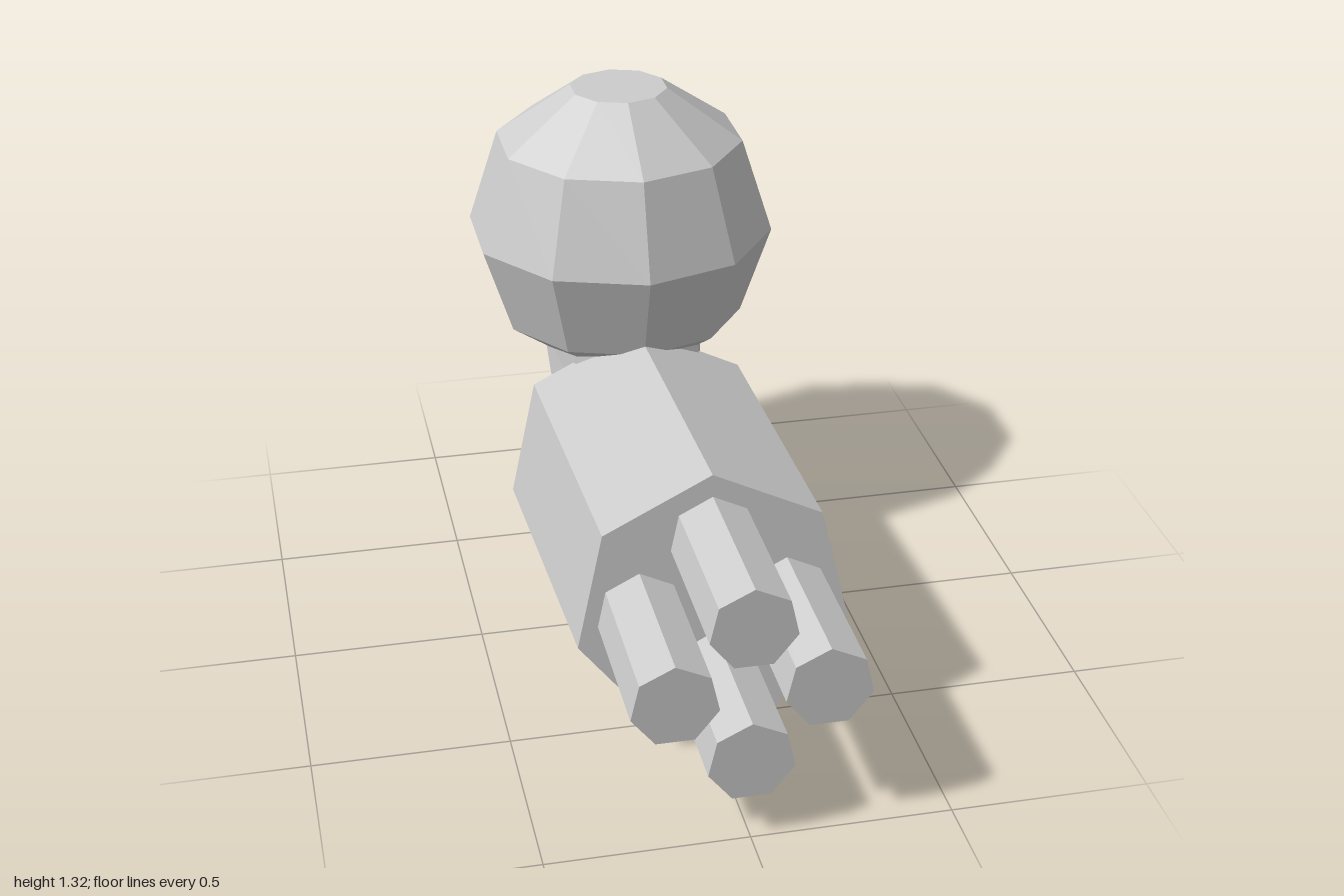
import * as THREE from 'three';

export function createModel() {
  const model = new THREE.Group();
  model.name = 'turret';
  const grey = new THREE.MeshStandardMaterial({ color: 0xcccccc, flatShading: true });
  grey.name = 'grey';

  const add = (name, geometry, x = 0, y = 0, z = 0) => {
    const mesh = new THREE.Mesh(geometry, grey);
    mesh.name = name;
    mesh.position.set(x, y, z);
    model.add(mesh);
    return mesh;
  };

  // Seven-sided prism lying along z, with one corner pointing up
  const prism = (frontRadius, backRadius, length) =>
    new THREE.CylinderGeometry(backRadius, frontRadius, length, 7).rotateX(-Math.PI / 2);

  // Ten-sided ball with flat top and bottom
  const ballProfile = [
    [0, -0.395], [0.132, -0.395], [0.337, -0.246], [0.42, 0],
    [0.337, 0.257], [0.132, 0.4], [0, 0.4],
  ].map(([r, y]) => new THREE.Vector2(r, y));
  add('ball', new THREE.LatheGeometry(ballProfile, 10), 0, 0.92, -0.58);

  // Tilted, slightly tapered body
  const body = add('body', prism(0.349, 0.366, 0.936), 0, 0.37, 0.13);
  body.rotation.x = -0.078;

  // Four barrels
  [[0, 0.589], [0, 0.222], [-0.184, 0.405], [0.184, 0.405]].forEach(([x, y], i) =>
    add(`barrel${i + 1}`, prism(0.108, 0.108, 0.5), x, y, 0.75));

  // Bent neck: rings with centre (y, z), upward radius vector (y, z) and half width
  const rings = [
    { y: 0.35, z: -0.2, uy: 0.2, uz: 0.02, rx: 0.2 },
    { y: 0.387, z: -0.4, uy: 0.173, uz: 0.15, rx: 0.205 },
    { y: 0.66, z: -0.511, uy: 0.0885, uz: 0.226, rx: 0.23 },
  ];
  const positions = [];
  const indices = [];
  rings.forEach((ring, r) => {
    for (let i = 0; i < 7; i++) {
      const a = (i / 7) * Math.PI * 2;
      const c = Math.cos(a);
      positions.push(Math.sin(a) * ring.rx, ring.y + c * ring.uy, ring.z + c * ring.uz);
      if (r === rings.length - 1) continue;
      const p = r * 7 + i;
      const q = r * 7 + ((i + 1) % 7);
      indices.push(p, q, p + 7, q, q + 7, p + 7);
    }
  });
  const neck = new THREE.BufferGeometry();
  neck.setAttribute('position', new THREE.Float32BufferAttribute(positions, 3));
  neck.setIndex(indices);
  neck.computeVertexNormals();
  add('neck', neck);

  return model;
}
